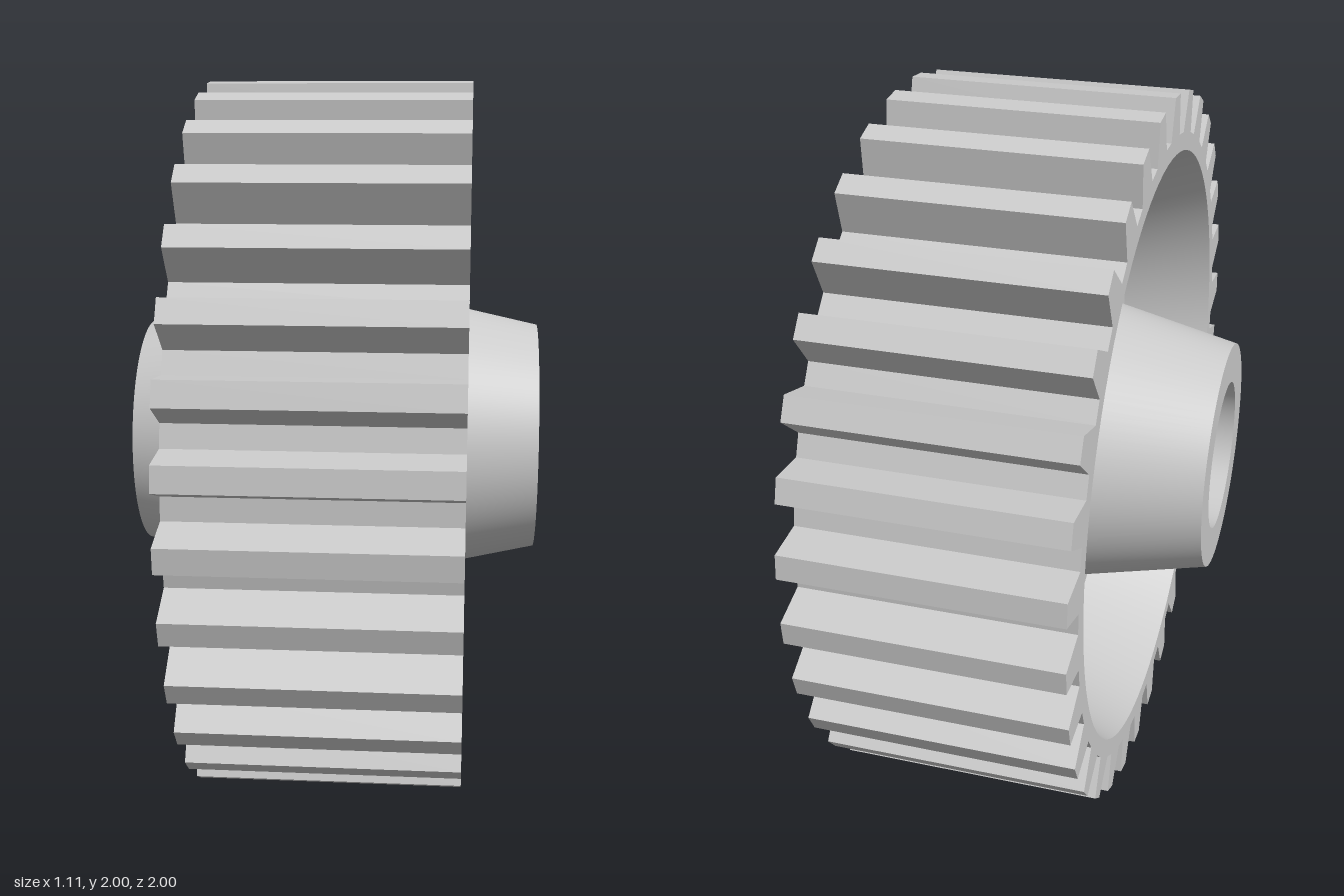
import * as THREE from 'three';
import { toCreasedNormals } from 'three/addons/utils/BufferGeometryUtils.js';

const TEETH = 32, HALF_WIDTH = 0.362, HALF_WEB = 0.1, SEGMENTS = 96;
const RIM_R = 0.84, BORE_R = 0.21;
const material = new THREE.MeshStandardMaterial({ color: 0xcccccc });

const polar = (r, a) => new THREE.Vector2(r * Math.cos(a), r * Math.sin(a));

function named(name, geometry) {
  const mesh = new THREE.Mesh(geometry, material);
  mesh.name = name;
  return mesh;
}

// Counter-clockwise outline: trapezoid teeth, with a gap at the very top
function toothOutline() {
  const pts = [];
  for (let i = 0; i < TEETH; i++) {
    const a = ((i + 0.5) / TEETH) * Math.PI * 2;
    pts.push(polar(0.89, a - 0.064), polar(1.002, a - 0.033),
      polar(1.002, a + 0.033), polar(0.89, a + 0.064));
  }
  return pts;
}

// Shaft hole with a square keyway notch at the top
function keyedOutline() {
  const r = 0.16, half = 0.037, start = Math.acos(half / r);
  const sweep = Math.PI * 2 - (Math.PI - 2 * start), n = 64;
  const pts = [];
  for (let i = 0; i <= n; i++) pts.push(polar(r, Math.PI - start + (sweep * i) / n));
  pts.push(new THREE.Vector2(half, 0.205), new THREE.Vector2(-half, 0.205));
  return pts;
}

function circle(r) {
  return Array.from({ length: SEGMENTS }, (_, i) => polar(r, (i / SEGMENTS) * Math.PI * 2));
}

// Flat face with a hole, turned to face +x
function face(outer, inner, x) {
  const shape = new THREE.Shape(outer);
  shape.holes.push(new THREE.Path(inner));
  return new THREE.ShapeGeometry(shape).rotateY(Math.PI / 2).translate(x, 0, 0);
}

// Wall swept along x from a closed outline
function wall(pts, half) {
  const pos = [];
  pts.forEach((a, i) => {
    const b = pts[(i + 1) % pts.length];
    pos.push(a.x, a.y, -half, b.x, b.y, -half, b.x, b.y, half,
      a.x, a.y, -half, b.x, b.y, half, a.x, a.y, half);
  });
  const geo = new THREE.BufferGeometry();
  geo.setAttribute('position', new THREE.Float32BufferAttribute(pos, 3));
  return toCreasedNormals(geo.rotateY(Math.PI / 2), 0.4);
}

// One turned surface around the x axis, from (radius, x) to (radius, x)
function turned(from, to) {
  const pts = [new THREE.Vector2(...from), new THREE.Vector2(...to)];
  return new THREE.LatheGeometry(pts, SEGMENTS).rotateZ(-Math.PI / 2);
}

// Everything seen from one end of the gear
function createSide() {
  const side = new THREE.Group();
  side.add(named('rimFace', face(toothOutline(), circle(RIM_R), HALF_WIDTH)));
  const profile = [[RIM_R, HALF_WIDTH], [0.74, HALF_WEB], [0.42, HALF_WEB],
    [0.32, 0.555], [BORE_R, 0.555], [BORE_R, HALF_WEB]];
  ['rimInnerSlope', 'web', 'hub', 'hubEnd', 'hubBore'].forEach((name, i) =>
    side.add(named(name, turned(profile[i], profile[i + 1]))));
  side.add(named('collarFace', face(circle(BORE_R), keyedOutline(), HALF_WEB)));
  return side;
}

export function createModel() {
  const gear = new THREE.Group();
  gear.name = 'spurGear';

  gear.add(named('teeth', wall(toothOutline(), HALF_WIDTH)));
  gear.add(named('keyedBore', wall(keyedOutline().reverse(), HALF_WEB)));

  // The two ends are alike
  ['leftSide', 'rightSide'].forEach((name, i) => {
    const side = createSide();
    side.name = name;
    side.rotation.y = i * Math.PI;
    gear.add(side);
  });

  gear.position.y = 1;
  const model = new THREE.Group();
  model.add(gear);
  return model;
}
